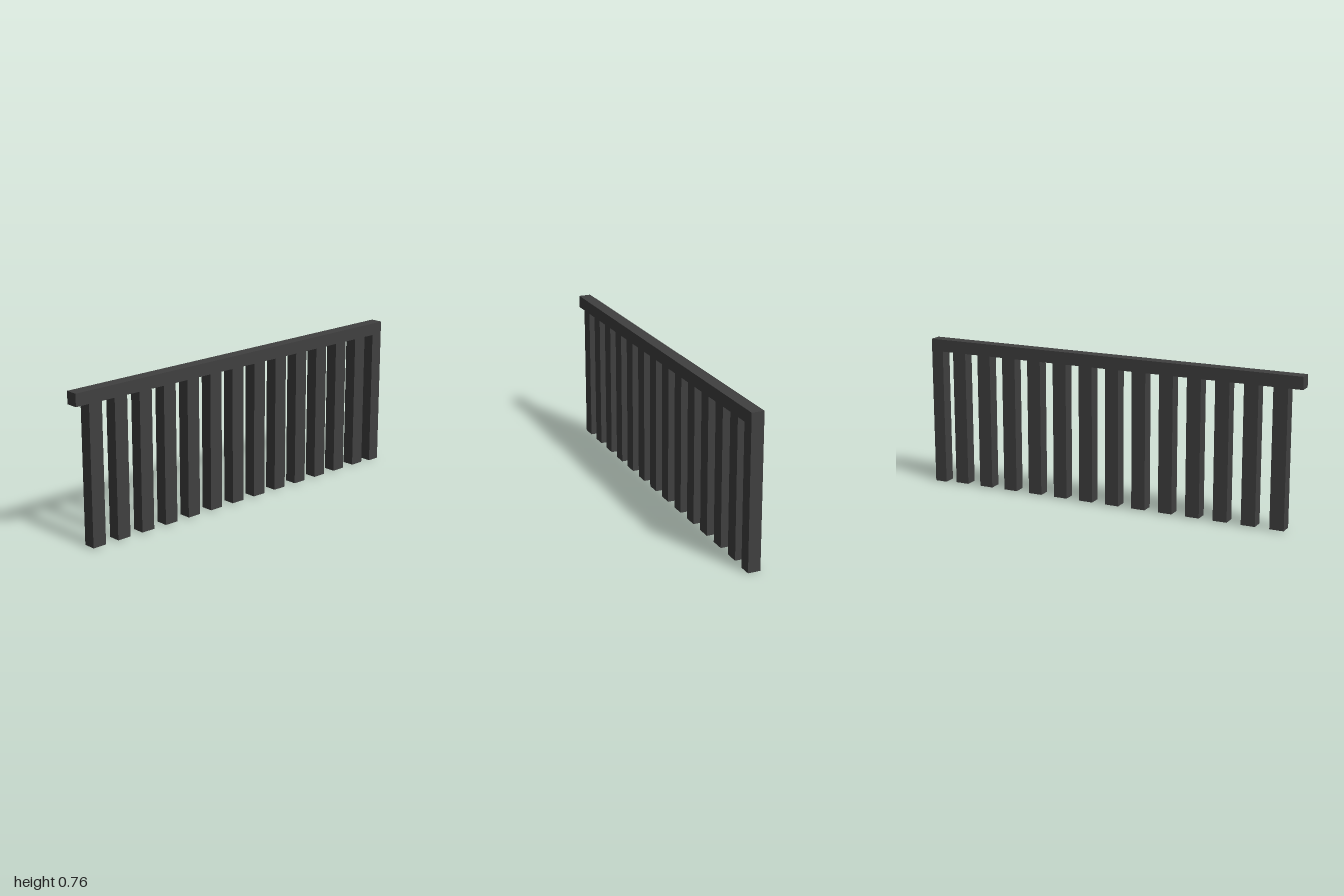
import * as THREE from 'three';

export function createModel() {
  const group = new THREE.Group();
  const material = new THREE.MeshStandardMaterial({ color: 0x404040 });

  const height = 0.757, depth = 0.062;
  const railBottom = 0.695, postWidth = 0.064;

  // Box given by its x and y extents, centred on z = 0
  function bar(name, x0, x1, y0, y1) {
    const mesh = new THREE.Mesh(new THREE.BoxGeometry(x1 - x0, y1 - y0, depth), material);
    mesh.name = name;
    mesh.position.set((x0 + x1) / 2, (y0 + y1) / 2, 0);
    group.add(mesh);
  }

  // Handrail, butting against the full-height end post
  bar('handrail', -1, 1 - postWidth, railBottom, height);
  bar('endPost', 1 - postWidth, 1, 0, height);

  // Evenly spaced balusters, ending just above the ground
  const count = 13, spacing = 0.1442, width = 0.072, start = -0.928;
  for (let i = 0; i < count; i++) {
    const x = start + i * spacing;
    bar(`baluster${i + 1}`, x, x + width, 0.006, railBottom);
  }

  return group;
}
